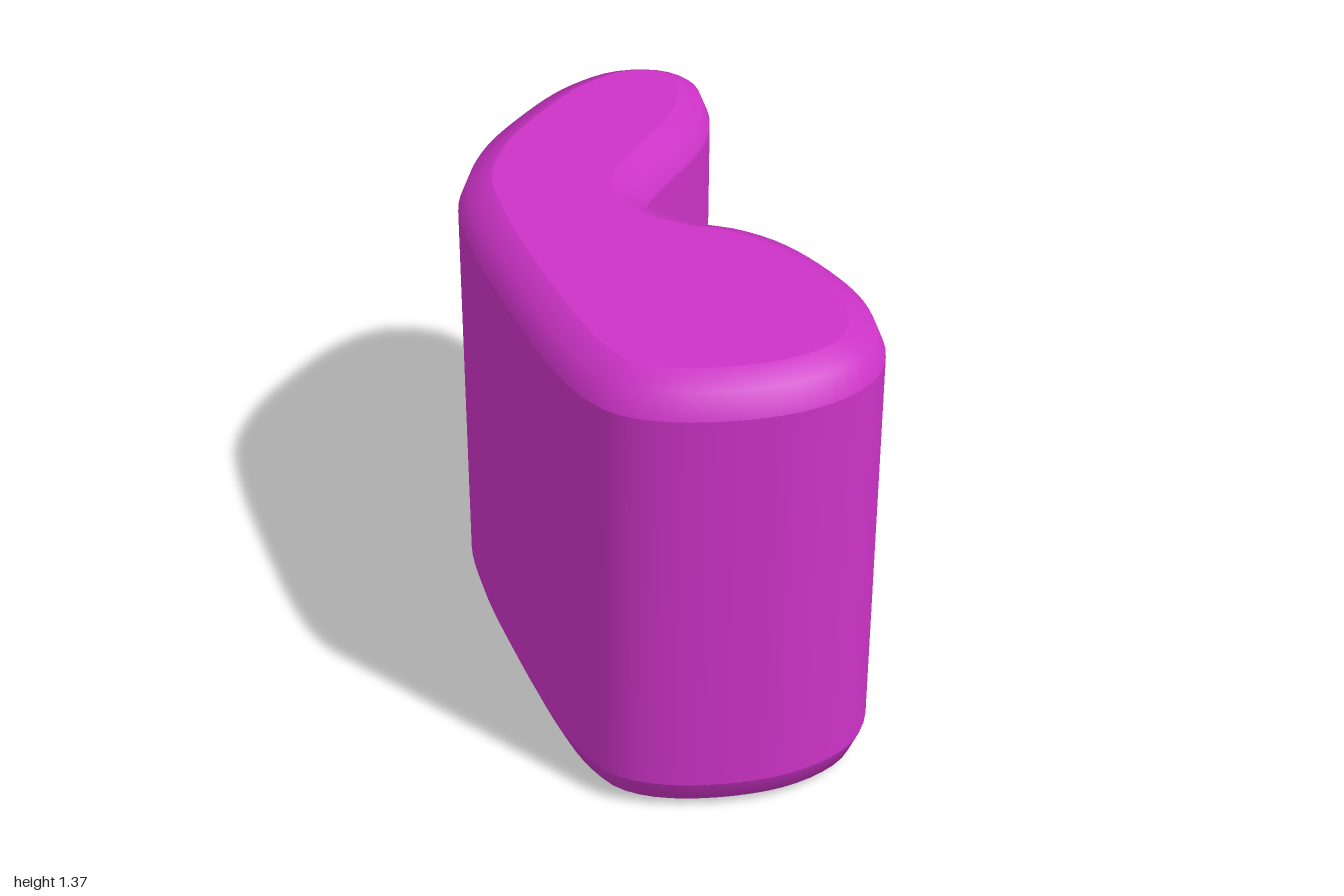
import * as THREE from 'three';

const HEIGHT = 1.37, BEVEL = 0.1, SAMPLES = 112;

// Kidney outline as [x, z], clockwise seen from above, starting at the back
const OUTLINE = [
  [0.22, -1], [0.38, -0.95], [0.45, -0.81], [0.41, -0.62], [0.32, -0.47], [0.16, -0.29],
  [0.08, -0.19], [0.055, -0.1], [0.09, -0.02], [0.16, 0.05], [0.26, 0.12], [0.35, 0.23],
  [0.42, 0.4], [0.46, 0.62], [0.43, 0.8], [0.33, 0.93], [0.12, 1], [-0.18, 0.96],
  [-0.33, 0.87], [-0.395, 0.74], [-0.43, 0.55], [-0.455, 0.24], [-0.465, -0.08],
  [-0.44, -0.35], [-0.34, -0.56], [-0.18, -0.75], [0.03, -0.93],
];

// Outline points with their inward normals
function sampleOutline() {
  const curve = new THREE.CatmullRomCurve3(
    OUTLINE.map(([x, z]) => new THREE.Vector3(x, 0, z)), true, 'centripetal');
  const pts = curve.getSpacedPoints(SAMPLES).slice(0, SAMPLES);
  return pts.map((p, i) => {
    const a = pts[(i + SAMPLES - 1) % SAMPLES], b = pts[(i + 1) % SAMPLES];
    const t = b.clone().sub(a).normalize();
    return { x: p.x, z: p.z, nx: -t.z, nz: t.x };
  });
}

const insetPoint = (p, d) => [p.x + p.nx * d, p.z + p.nz * d];

// Closed band through [inset, y] rings, listed from bottom to top
function band(outline, rings) {
  const pos = [], index = [], n = outline.length;
  for (const [d, y] of rings) {
    for (const p of outline) {
      const [x, z] = insetPoint(p, d);
      pos.push(x, y, z);
    }
  }
  for (let r = 0; r < rings.length - 1; r++) {
    for (let i = 0; i < n; i++) {
      const a = r * n + i, b = r * n + (i + 1) % n;
      index.push(a, a + n, b, b, a + n, b + n);
    }
  }
  const g = new THREE.BufferGeometry();
  g.setAttribute('position', new THREE.Float32BufferAttribute(pos, 3));
  g.setIndex(index);
  g.computeVertexNormals();
  return g;
}

// Flat end face; side is 1 for the top, -1 for the bottom
function cap(outline, y, side) {
  const pts = outline.map((p) => {
    const [x, z] = insetPoint(p, BEVEL);
    return new THREE.Vector2(x, -side * z);
  });
  return new THREE.ShapeGeometry(new THREE.Shape(pts)).rotateX(-side * Math.PI / 2).translate(0, y, 0);
}

export function createModel() {
  const group = new THREE.Group();
  group.name = 'kidneyBlock';
  const material = new THREE.MeshStandardMaterial({ color: 0xcc33c6 });
  const add = (name, geometry) => {
    const mesh = new THREE.Mesh(geometry, material);
    mesh.name = name;
    group.add(mesh);
  };
  const outline = sampleOutline();

  // Two-step rounded edge, bottom version; the top one mirrors it
  const k = BEVEL * (1 - Math.SQRT1_2);
  const edge = [[BEVEL, 0], [k, k], [0, BEVEL]];
  const topEdge = edge.map(([d, y]) => [d, HEIGHT - y]).reverse();

  add('wall', band(outline, [[0, BEVEL], [0, HEIGHT - BEVEL]]));
  add('bottomEdge', band(outline, edge));
  add('topEdge', band(outline, topEdge));
  add('bottomFace', cap(outline, 0, -1));
  add('topFace', cap(outline, HEIGHT, 1));
  return group;
}
